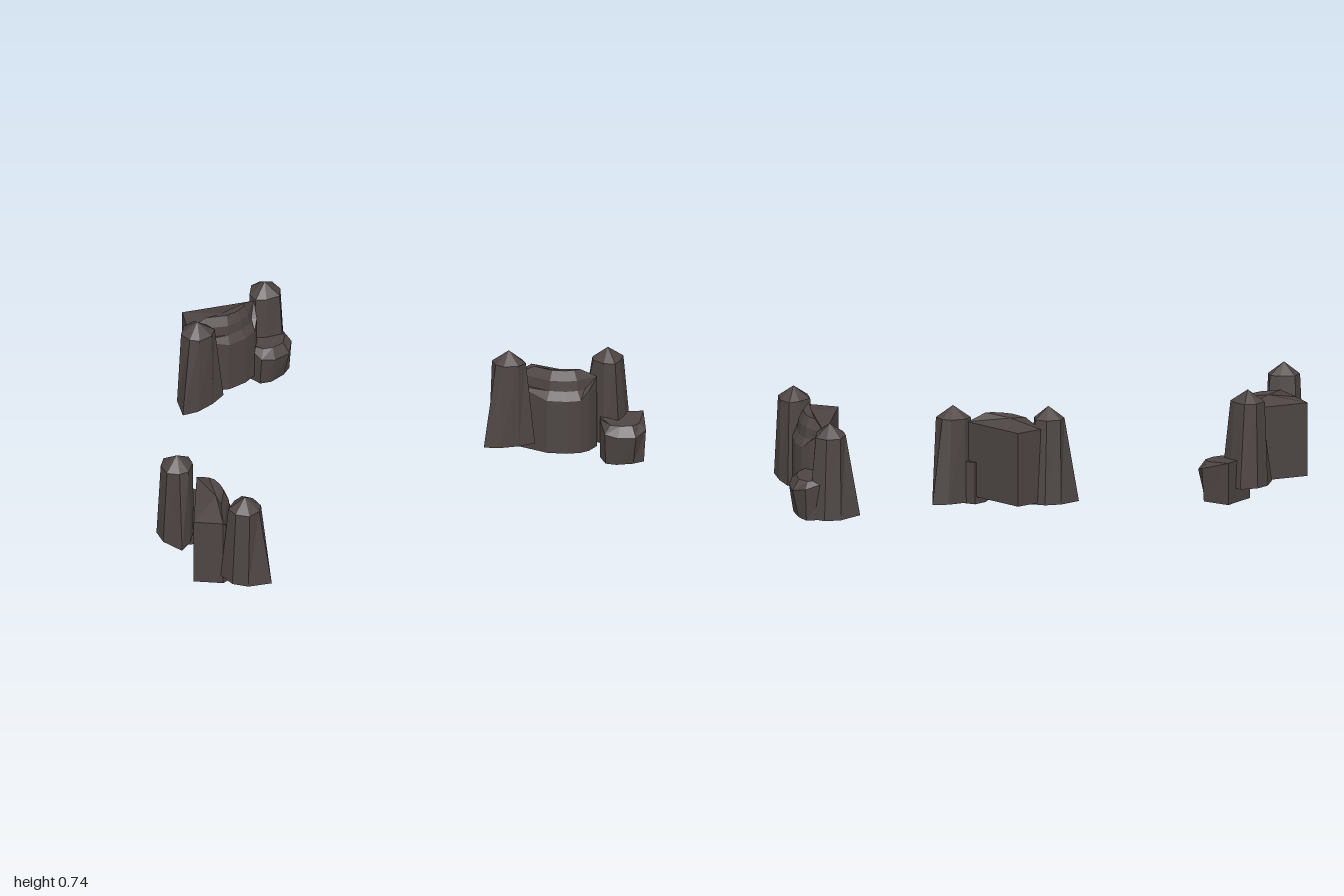
import * as THREE from 'three';

const material = new THREE.MeshStandardMaterial({ color: 0x4d4543, flatShading: true });

// Faceted stone from stacked rings of [x, y, z], closed below and by a fan to `peak`
function loft(rings, peak) {
  const pos = [];
  const tri = (a, b, c) => {
    const [A, B, C] = [a, b, c].map((p) => new THREE.Vector3(...p));
    if (B.sub(A).cross(C.sub(A)).length() > 1e-7) pos.push(...a, ...b, ...c);
  };
  const n = rings[0].length, last = rings.length - 1;
  const foot = [0, 1, 2].map((k) => rings[0].reduce((s, p) => s + p[k], 0) / n);
  for (let i = 0; i < n; i++) {
    const j = (i + 1) % n;
    for (let r = 0; r < last; r++) {
      tri(rings[r][i], rings[r + 1][i], rings[r][j]);
      tri(rings[r][j], rings[r + 1][i], rings[r + 1][j]);
    }
    tri(foot, rings[0][i], rings[0][j]);
    tri(peak, rings[last][j], rings[last][i]);
  }
  const g = new THREE.BufferGeometry();
  g.setAttribute('position', new THREE.Float32BufferAttribute(pos, 3));
  g.computeVertexNormals();
  return g;
}

const level = (outline, y) => outline.map(([x, z]) => [x, y, z]);

// Tall pillar: flared foot with a spur on +x, narrow shoulder and a pointed tip
function pillarGeometry() {
  const foot = [[0.19, 0], [0.08, 0.1], [-0.02, 0.125], [-0.125, 0.085],
    [-0.13, -0.02], [-0.11, -0.125], [0, -0.108], [0.115, -0.065]];
  const shoulder = [[0.1, 0], [0.075, 0.075], [-0.01, 0.1], [-0.08, 0.07],
    [-0.088, -0.02], [-0.07, -0.085], [0, -0.1], [0.08, -0.06]];
  return loft([level(foot, 0), level(shoulder, 0.53)], [0, 0.605, 0]);
}

// Wide slab: flat wall on one side, rounded back that steps in towards the top
function slabGeometry() {
  const outline = [[0, 0], [0.07, -0.065], [0.13, -0.085], [0.22, -0.075],
    [0.33, -0.025], [0.465, 0.13], [0.465, 0.195], [0.33, 0.32]];
  const wall = [0, 6, 7];
  const ring = (inset, y, yEnd = y) => outline.map(([x, z], i) => {
    if (wall.includes(i)) return [x, 0.465, z];
    return [x + (0.19 - x) * inset, i === 1 || i === 5 ? yEnd : y, z + (0.12 - z) * inset];
  });
  return loft([level(outline, 0), ring(0, 0.345, 0.4), ring(0.16, 0.4),
    ring(0.2, 0.465), ring(0.35, 0.525)], [0.27, 0.51, 0.08]);
}

// Low boulder with a bevelled back edge
function boulderGeometry() {
  const foot = [[-0.15, 0.09], [-0.1, -0.09], [-0.025, -0.11], [0.08, -0.1],
    [0.14, -0.06], [0.14, 0.06], [0.09, 0.145], [-0.05, 0.11]];
  const rim = [[-0.15, 0.09], [-0.11, -0.1], [-0.03, -0.153], [0.08, -0.13],
    [0.15, -0.08], [0.14, 0.06], [0.09, 0.145], [-0.05, 0.11]];
  const rimY = [0.265, 0.21, 0.185, 0.185, 0.2, 0.25, 0.26, 0.265];
  const top = rim.map(([x, z], i) => {
    const s = i > 0 && i < 5 ? 0.7 : 1;
    return [x * s, s < 1 ? 0.25 : 0.265, z * s];
  });
  return loft([level(foot, 0), rim.map(([x, z], i) => [x, rimY[i], z]), top], [0, 0.26, 0.02]);
}

export function createModel() {
  const model = new THREE.Group();
  const stones = { pillar: pillarGeometry(), slab: slabGeometry(), boulder: boulderGeometry() };

  // [stone, x, y, z, turn in degrees from +x towards +z]
  const clusters = {
    frontRocks: [
      ['pillar', 0.175, 0.09, 0.74, 32],
      ['pillar', 0.815, 0.135, 0.745, -19],
      ['slab', 0.27, 0.075, 0.66, 0],
      ['boulder', 0.11, 0, 0.6, 0],
    ],
    backRocks: [
      ['pillar', -0.79, 0.07, -0.855, 202],
      ['pillar', -0.735, 0.1, -0.245, 70],
      ['slab', -0.785, 0.11, -0.76, 73],
      ['boulder', -0.7, 0.065, -0.8, 83],
    ],
  };

  for (const [name, list] of Object.entries(clusters)) {
    const group = new THREE.Group();
    group.name = name;
    for (const [stone, x, y, z, turn] of list) {
      const mesh = new THREE.Mesh(stones[stone], material);
      mesh.name = stone;
      mesh.position.set(x, y, z);
      mesh.rotation.y = -THREE.MathUtils.degToRad(turn);
      group.add(mesh);
    }
    model.add(group);
  }
  return model;
}
